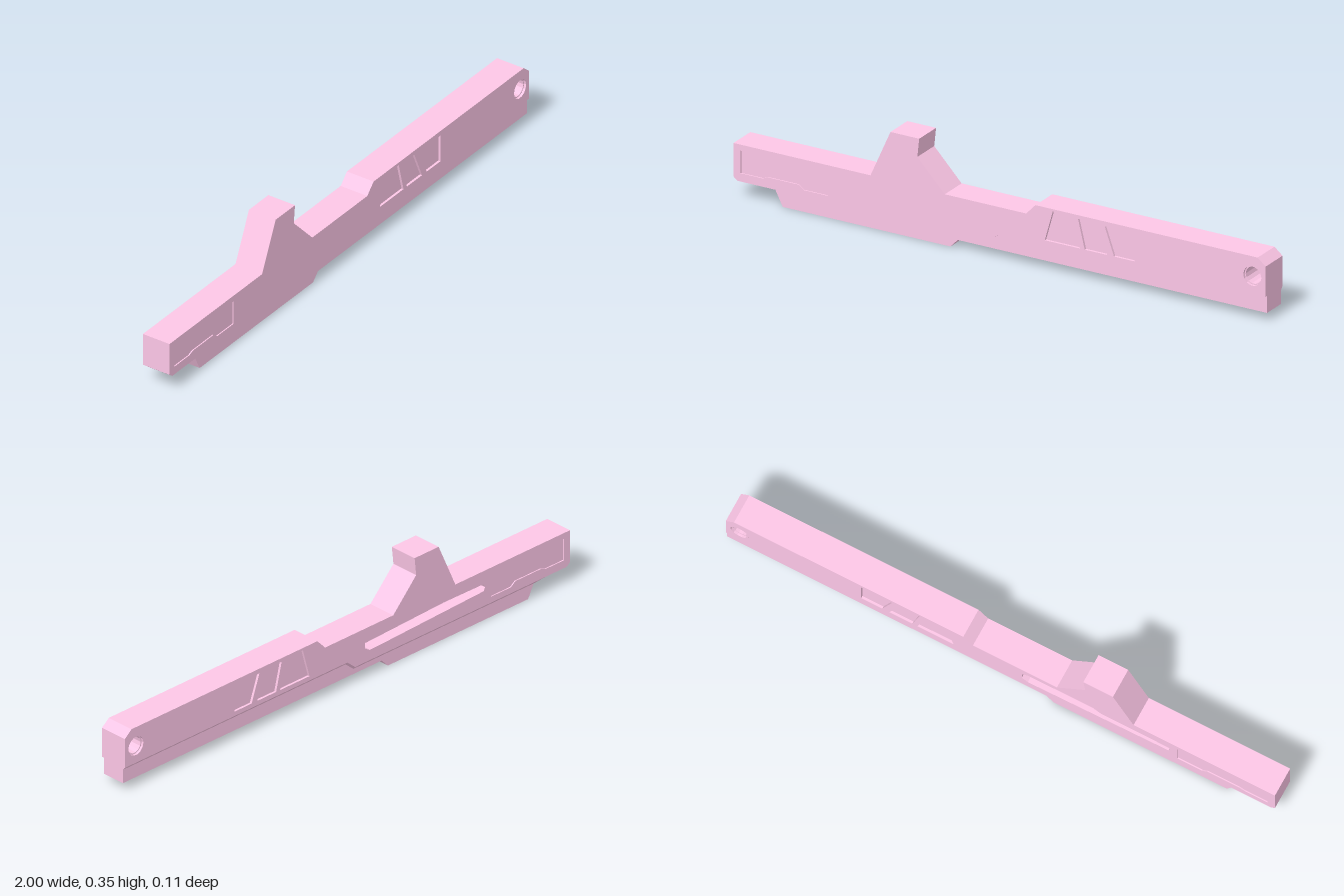
import * as THREE from 'three';

const material = new THREE.MeshStandardMaterial({ color: 0xfcc6e6, flatShading: true });

// upper outline shared by every layer, running from the tail to the nose
const top = [
  [-1, 0.07], [-1, 0.187], [-0.485, 0.187], [-0.41, 0.355], [-0.302, 0.355], [-0.309, 0.29],
  [-0.206, 0.182], [0.1, 0.182], [0.135, 0.219], [0.97, 0.219], [1, 0.194],
];
const coreOutline = [...top, [1, 0.029], [-0.162, 0.029], [-0.19, 0], [-0.82, 0], [-0.85, 0.058], [-0.985, 0.058]];
const skinOutline = [...top, [1, 0.088], [0, 0.088], [-0.035, 0.058], [-0.85, 0.058], [-0.985, 0.058]];

// shallow pockets found on both faces
const vents = [
  [[0.17, 0.104], [0.2, 0.211], [0.275, 0.209], [0.302, 0.104]],
  [[0.32, 0.104], [0.295, 0.206], [0.362, 0.204], [0.405, 0.104]],
  [[0.43, 0.104], [0.395, 0.202], [0.507, 0.202], [0.507, 0.104]],
];
const tailPanel = [
  [-0.973, 0.087], [-0.973, 0.166], [-0.645, 0.166], [-0.645, 0.08],
  [-0.735, 0.08], [-0.755, 0.095], [-0.87, 0.095], [-0.89, 0.087],
];
// stepped slot found on the back only
const slot = [
  [-0.612, 0.113], [-0.619, 0.126], [-0.612, 0.139], [-0.365, 0.142], [-0.335, 0.159],
  [-0.1, 0.156], [-0.08, 0.144], [-0.078, 0.109], [-0.1, 0.096], [-0.13, 0.096],
];

const toVectors = (points) => points.map(([x, y]) => new THREE.Vector2(x, y));

// a flat plate between two z positions, with optional cutouts and a round pin hole
function plate(name, outline, cutouts, z0, z1, pinRadius = 0) {
  // counterclockwise outline, so that the cutout walls face inwards
  const shape = new THREE.Shape(toVectors(outline).reverse());
  for (const cutout of cutouts) shape.holes.push(new THREE.Path(toVectors(cutout)));
  if (pinRadius) shape.holes.push(new THREE.Path().absarc(0.95, 0.15, pinRadius, 0, Math.PI * 2, true));
  const geometry = new THREE.ExtrudeGeometry(shape, { depth: z1 - z0, bevelEnabled: false, curveSegments: 7 });
  geometry.translate(0, 0, z0);
  const mesh = new THREE.Mesh(geometry, material);
  mesh.name = name;
  return mesh;
}

export function createModel() {
  const group = new THREE.Group();
  group.name = 'slideRail';

  // narrow core, thick enough behind the slot to give it a floor
  group.add(plate('coreFront', coreOutline, [], -0.01, 0.044, 0.03));
  group.add(plate('coreBack', coreOutline, [slot], -0.044, -0.01, 0.03));

  // wider upper skins
  group.add(plate('frontSkin', skinOutline, [...vents, tailPanel], 0.044, 0.0525, 0.034));
  const backSkin = plate('backSkin', skinOutline, [...vents, tailPanel, slot], -0.0525, -0.044, 0.034);

  // undercut: ahead of the tail the lower edge of the back skin slopes down towards the core
  const position = backSkin.geometry.attributes.position;
  for (let i = 0; i < position.count; i++) {
    const x = position.getX(i), y = position.getY(i);
    const onLowerEdge = (x > -0.86 && y < 0.06) || (x > -0.001 && y < 0.09);
    if (onLowerEdge && position.getZ(i) > -0.048) position.setY(i, y - 0.01);
  }
  backSkin.geometry.computeVertexNormals();
  group.add(backSkin);

  // raised floors that make the tail panels shallower than the vents
  group.add(plate('frontTailPanel', tailPanel, [], 0.044, 0.0485));
  group.add(plate('backTailPanel', tailPanel, [], -0.0485, -0.044));

  return group;
}
